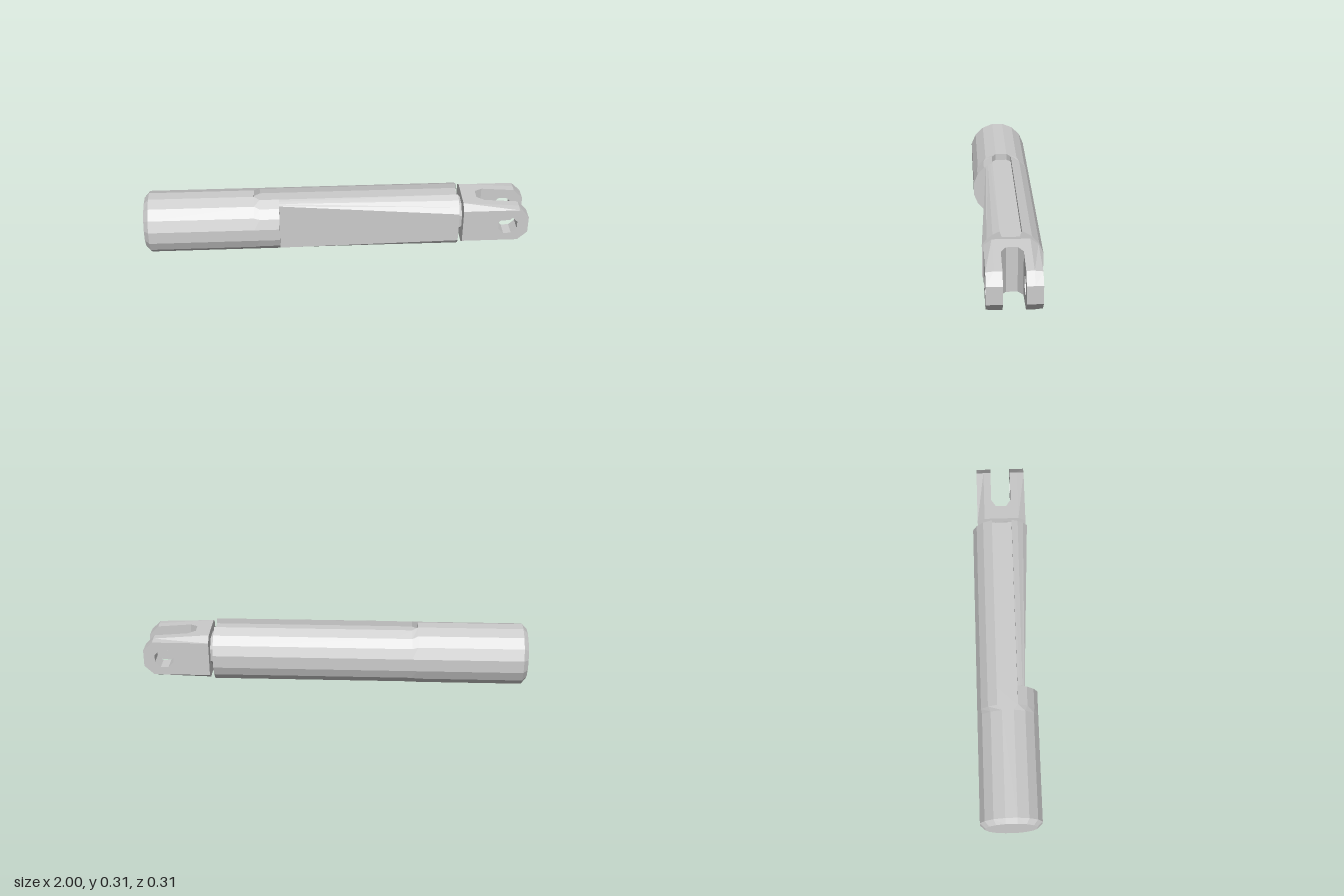
import * as THREE from 'three';

const AXIS_Y = 0.157; // height of the rod's axis
const R = 0.16;
const mat = new THREE.MeshStandardMaterial({ color: 0xcccccc, flatShading: true });

// Cross-section in (y, z): round, with a top and bottom slot and an optional flat on +z
function section(r, w, floor, flat) {
  const steps = 3, a0 = Math.asin(w / r), full = 1.36;
  const side = (sign, a1) => {
    const pts = [];
    for (let i = 0; i <= steps; i++) {
      const a = a0 + (a1 - a0) * i / steps;
      pts.push([r * Math.cos(a), sign * r * Math.sin(a)]);
    }
    return [...pts, ...pts.map(([y, z]) => [-y, z]).reverse()];
  };
  const h = Math.min(floor, r * Math.cos(a0));
  const front = side(1, Math.min(full, Math.asin(Math.min(1, flat / r))));
  const back = side(-1, full).reverse();
  return [[h, -w], [h, w], ...front, [-h, w], [-h, -w], ...back];
}

// Joins cross-sections along x and closes both ends
function loft(stations) {
  const pos = [], idx = [];
  const n = section(...stations[0].slice(1)).length;
  for (const [x, ...args] of stations) {
    for (const [y, z] of section(...args)) pos.push(x, y, z);
  }
  const last = stations.length - 1;
  for (let i = 0; i < last; i++) {
    for (let j = 0; j < n; j++) {
      const a = i * n + j, b = i * n + (j + 1) % n;
      idx.push(a, b, a + n, b, b + n, a + n);
    }
  }
  const c = pos.length / 3;
  pos.push(stations[0][0], 0, 0, stations[last][0], 0, 0);
  for (let j = 0; j < n; j++) {
    const k = (j + 1) % n;
    idx.push(c, k, j, c + 1, last * n + j, last * n + k);
  }
  const g = new THREE.BufferGeometry();
  g.setAttribute('position', new THREE.Float32BufferAttribute(pos, 3));
  g.setIndex(idx);
  const flat = g.toNonIndexed();
  flat.computeVertexNormals();
  return flat;
}

function polygon(points) {
  return new THREE.Shape(points.map(([x, y]) => new THREE.Vector2(x, y)));
}

// Moves every vertex by a rule and refreshes the normals
function reshape(g, rule) {
  const p = g.attributes.position, v = new THREE.Vector3();
  for (let i = 0; i < p.count; i++) {
    rule(v.fromBufferAttribute(p, i));
    p.setXYZ(i, v.x, v.y, v.z);
  }
  g.computeVertexNormals();
  return g;
}

// Half height of the fork, tapering towards its tip
const forkHalf = x => 0.122 - 0.085 * (x - 0.657);

export function createModel() {
  const model = new THREE.Group();
  model.name = 'forkedRod';
  const body = new THREE.Group();
  body.name = 'rod';
  body.position.y = AXIS_Y;
  model.add(body);
  const add = (name, geometry, parent = body) => {
    const m = new THREE.Mesh(geometry, mat);
    m.name = name;
    parent.add(m);
    return m;
  };

  // Barrel: x, radius, slot half width, slot floor, flat position
  const none = 1, floor = 0.122;
  add('barrel', loft([
    [-1, 0.133, 0.03, none, none],
    [-0.975, R, 0.03, none, none],
    [-0.43, R, 0.03, none, none],
    [-0.43, R, 0.03, floor, none],
    [-0.40, R, 0.053, floor, none],
    [-0.30, R, 0.053, floor, none],
    [-0.30, R, 0.053, floor, 0.09],
    [0.633, R, 0.053, floor, 0.137],
  ]));

  // Short neck between barrel and fork
  const neck = new THREE.CylinderGeometry(0.085, 0.1, 0.034, 8);
  neck.rotateY(Math.PI / 8).rotateZ(-Math.PI / 2).translate(0.646, 0, 0);
  add('neck', neck);

  // Fork
  const fork = new THREE.Group();
  fork.name = 'fork';
  body.add(fork);

  // Root of the fork, with the rounded bottom of the gap
  const root = new THREE.ExtrudeGeometry(polygon([
    [0.657, -0.053], [0.775, -0.053], [0.735, -0.028],
    [0.735, 0.028], [0.775, 0.053], [0.657, 0.053],
  ]), { depth: 1, bevelEnabled: false });
  root.rotateX(-Math.PI / 2);
  add('forkRoot', reshape(root, v => { v.y = (v.y > 0.5 ? 1 : -1) * forkHalf(v.x); }), fork);

  // Two prongs with pin holes and chamfered outer edges
  const outline = polygon([
    [0.657, -forkHalf(0.657)], [0.95, -forkHalf(0.95)], [1, -0.045],
    [1, 0.045], [0.95, forkHalf(0.95)], [0.657, forkHalf(0.657)],
  ]);
  const hole = new THREE.Path();
  for (let i = 0; i < 8; i++) {
    const a = -(i + 0.5) * Math.PI / 4;
    const x = 0.893 + 0.053 * Math.cos(a), y = 0.053 * Math.sin(a);
    if (i) hole.lineTo(x, y); else hole.moveTo(x, y);
  }
  hole.closePath();
  outline.holes.push(hole);
  const prong = new THREE.ExtrudeGeometry(outline, { depth: 0.077, steps: 2, bevelEnabled: false });
  prong.translate(0, 0, 0.053);
  reshape(prong, v => { if (v.z > 0.12) v.y = THREE.MathUtils.clamp(v.y, -0.093, 0.093); });
  add('frontProng', prong, fork);
  add('backProng', prong, fork).rotation.x = Math.PI;

  return model;
}
